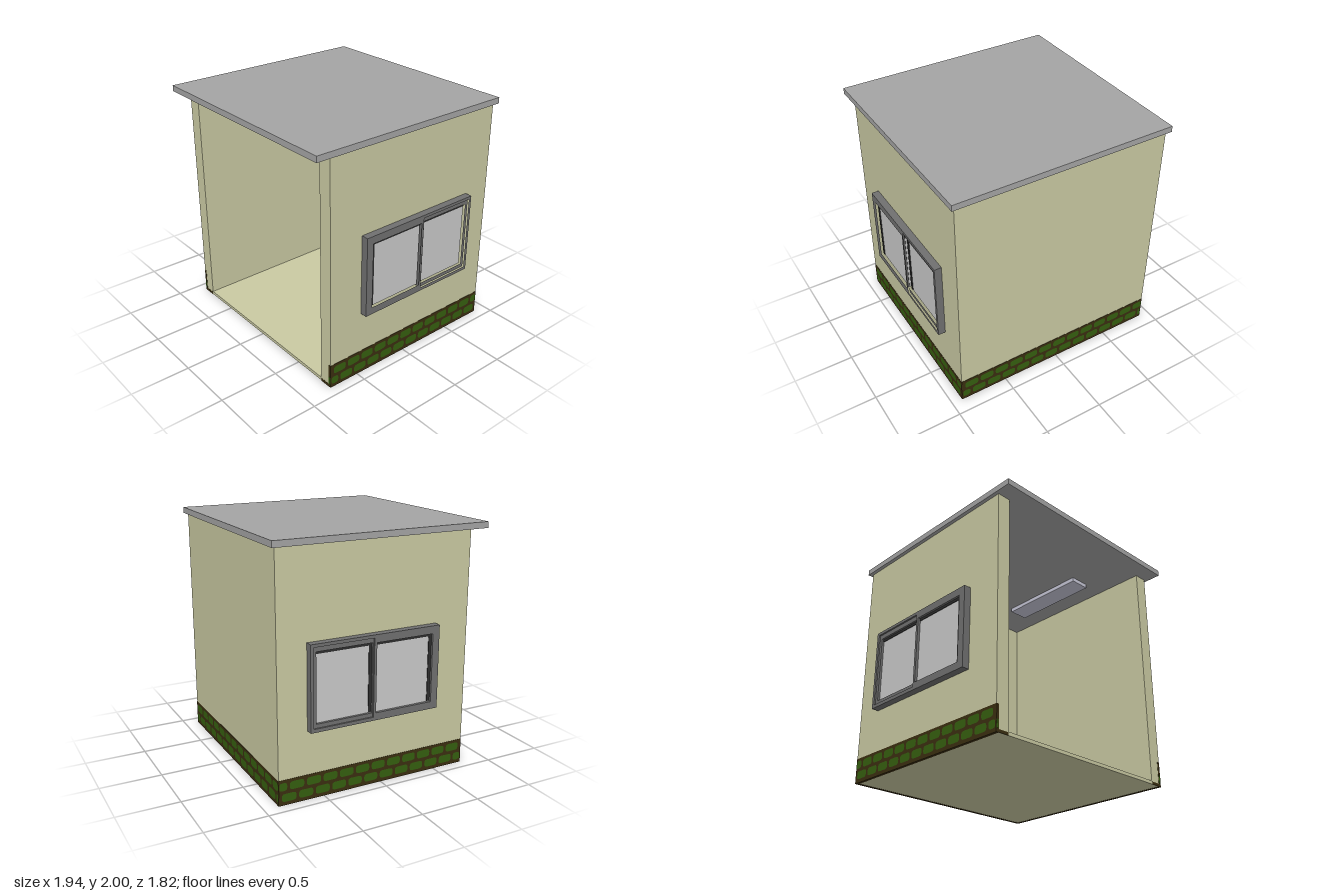
import * as THREE from 'three';

const mat = (name, color) => {
  const m = new THREE.MeshStandardMaterial({ color });
  m.name = name;
  return m;
};

export function createModel() {
  const wall = mat('cream wall', 0xc9c9a2);
  const roofGrey = mat('roof grey', 0xa4a4a4);
  const frameGrey = mat('frame grey', 0x707070);
  const glass = mat('pale glass', 0xc9c9c9);
  const seal = mat('black seal', 0x2d2d2d);
  const mortar = mat('brown mortar', 0x3a2e10);
  const moss = mat('green brick', 0x355f0f);
  const lampWhite = mat('lamp white', 0xc8c8d8);

  const model = new THREE.Group();
  model.name = 'room';

  // Box given by its limits on each axis
  const box = (parent, name, m, x0, x1, y0, y1, z0, z1) => {
    const g = new THREE.BoxGeometry(Math.abs(x1 - x0), y1 - y0, Math.abs(z1 - z0));
    const b = new THREE.Mesh(g, m);
    b.position.set((x0 + x1) / 2, (y0 + y1) / 2, (z0 + z1) / 2);
    b.name = name;
    parent.add(b);
  };
  const rectPoints = (u0, u1, v0, v1) =>
    [[u0, v0], [u1, v0], [u1, v1], [u0, v1]].map(p => new THREE.Vector2(...p));

  const X = 0.91, IN = 0.795, FRONT = 0.77, BACK = -0.88, TOP = 1.95;

  // Three walls as one U-shaped plan, extruded upward
  const plan = new THREE.Shape([
    [-X, -FRONT], [-IN, -FRONT], [-IN, 0.77], [IN, 0.77],
    [IN, -FRONT], [X, -FRONT], [X, -BACK], [-X, -BACK],
  ].map(p => new THREE.Vector2(...p)));
  const wallGeo = new THREE.ExtrudeGeometry(plan, { depth: TOP - 0.002, bevelEnabled: false });
  wallGeo.rotateX(-Math.PI / 2).translate(0, 0.002, 0);
  const walls = new THREE.Mesh(wallGeo, wall);
  walls.name = 'walls';
  model.add(walls);

  box(model, 'floor', wall, -IN, IN, 0.002, 0.03, -0.77, FRONT);
  box(model, 'roof', roofGrey, -0.94, 0.94, TOP, 2, -0.91, 0.91);
  for (const s of [-1, 1])
    box(model, 'ceilingLamp', lampWhite, s * 0.41, s * 0.59, 1.915, TOP, -0.45, 0.35);

  // Brick plinth: painted strips with two staggered rows of rounded bricks
  const brickGeo = (w, h) => {
    const r = Math.min(0.025, w / 2.5), a = w / 2, b = h / 2, s = new THREE.Shape();
    s.moveTo(-a + r, -b).lineTo(a - r, -b).quadraticCurveTo(a, -b, a, -b + r);
    s.lineTo(a, b - r).quadraticCurveTo(a, b, a - r, b);
    s.lineTo(-a + r, b).quadraticCurveTo(-a, b, -a, b - r);
    s.lineTo(-a, -b + r).quadraticCurveTo(-a, -b, -a + r, -b);
    return new THREE.ShapeGeometry(s, 3);
  };
  const PITCH = 0.141, LENGTH = 0.12;
  const brickFace = (name, length, flip, x, z, turn) => {
    const face = new THREE.Group();
    face.name = name;
    face.position.set(x, 0, z);
    face.rotation.y = turn;
    box(face, 'mortar', mortar, -length / 2, length / 2, 0, 0.207, -0.002, 0.002);
    [[0.152, 0.03], [0.062, -0.045]].forEach(([y, start]) => {
      for (let u = start; u < length; u += PITCH) {
        const a = Math.max(u, 0.008), b = Math.min(u + LENGTH, length - 0.004);
        if (b - a < 0.02) continue;
        const brick = new THREE.Mesh(brickGeo(b - a, 0.065), moss);
        brick.position.set(flip * ((a + b) / 2 - length / 2), y, 0.004);
        brick.name = 'brick';
        face.add(brick);
      }
    });
    model.add(face);
  };
  const depth = FRONT - BACK, midZ = (FRONT + BACK) / 2;
  brickFace('leftPlinth', depth, 1, X, midZ, Math.PI / 2);
  brickFace('rightPlinth', depth, -1, -X, midZ, -Math.PI / 2);
  brickFace('backPlinth', 2 * X, 1, 0, BACK, Math.PI);

  // Plinth paint returning onto the wall ends and the underside
  for (const s of [-1, 1]) {
    box(model, 'plinthReturn', mortar, s * 0.888, s * X, 0, 0.207, FRONT, FRONT + 0.002);
    box(model, 'plinthFoot', mortar, s * 0.8, s * 0.888, 0, 0.024, FRONT, FRONT + 0.002);
    box(model, 'brickReturn', moss, s * 0.892, s * X, 0.03, 0.095, FRONT, FRONT + 0.003);
    box(model, 'plinthUnderside', mortar, s * 0.888, s * X, 0, 0.002, BACK, FRONT);
  }
  box(model, 'plinthUnderside', mortar, -0.888, 0.888, 0, 0.002, BACK, BACK + 0.024);

  // Sliding window on each side wall
  for (const s of [-1, 1]) {
    const win = new THREE.Group();
    win.name = s > 0 ? 'leftWindow' : 'rightWindow';
    // Flat frame in the z-y plane: outer rectangle, then its holes
    const frame = (name, x0, x1, outer, ...holes) => {
      const rect = ([z0, z1, y0, y1]) => rectPoints(-s * z0, -s * z1, y0, y1);
      const shape = new THREE.Shape(rect(outer));
      holes.forEach(h => shape.holes.push(new THREE.Path(rect(h))));
      const g = new THREE.ExtrudeGeometry(shape, { depth: x1 - x0, bevelEnabled: false });
      g.rotateY(s * Math.PI / 2).translate(s * x0, 0, 0);
      const mesh = new THREE.Mesh(g, frameGrey);
      mesh.name = name;
      win.add(mesh);
    };
    frame('windowFrame', 0.91, 0.97, [-0.64, 0.47, 0.56, 1.24],
      [-0.088, 0.41, 0.62, 1.177], [-0.615, -0.11, 0.588, 1.215]);
    frame('slidingSash', 0.91, 0.957, [-0.615, -0.11, 0.588, 1.215],
      [-0.588, -0.115, 0.62, 1.177]);
    // Panes with dark seals along the top and the front edge
    [[-0.088, 0.41, 0.947], [-0.588, -0.115, 0.937]].forEach(([z0, z1, x]) => {
      box(win, 'pane', glass, s * 0.91, s * x, 0.62, 1.177, z0, z1);
      box(win, 'topSeal', seal, s * x, s * (x + 0.005), 1.155, 1.177, z0, z1);
      box(win, 'sideSeal', seal, s * x, s * (x + 0.005), 0.625, 1.155, z1 - 0.026, z1);
    });
    model.add(win);
  }
  return model;
}
